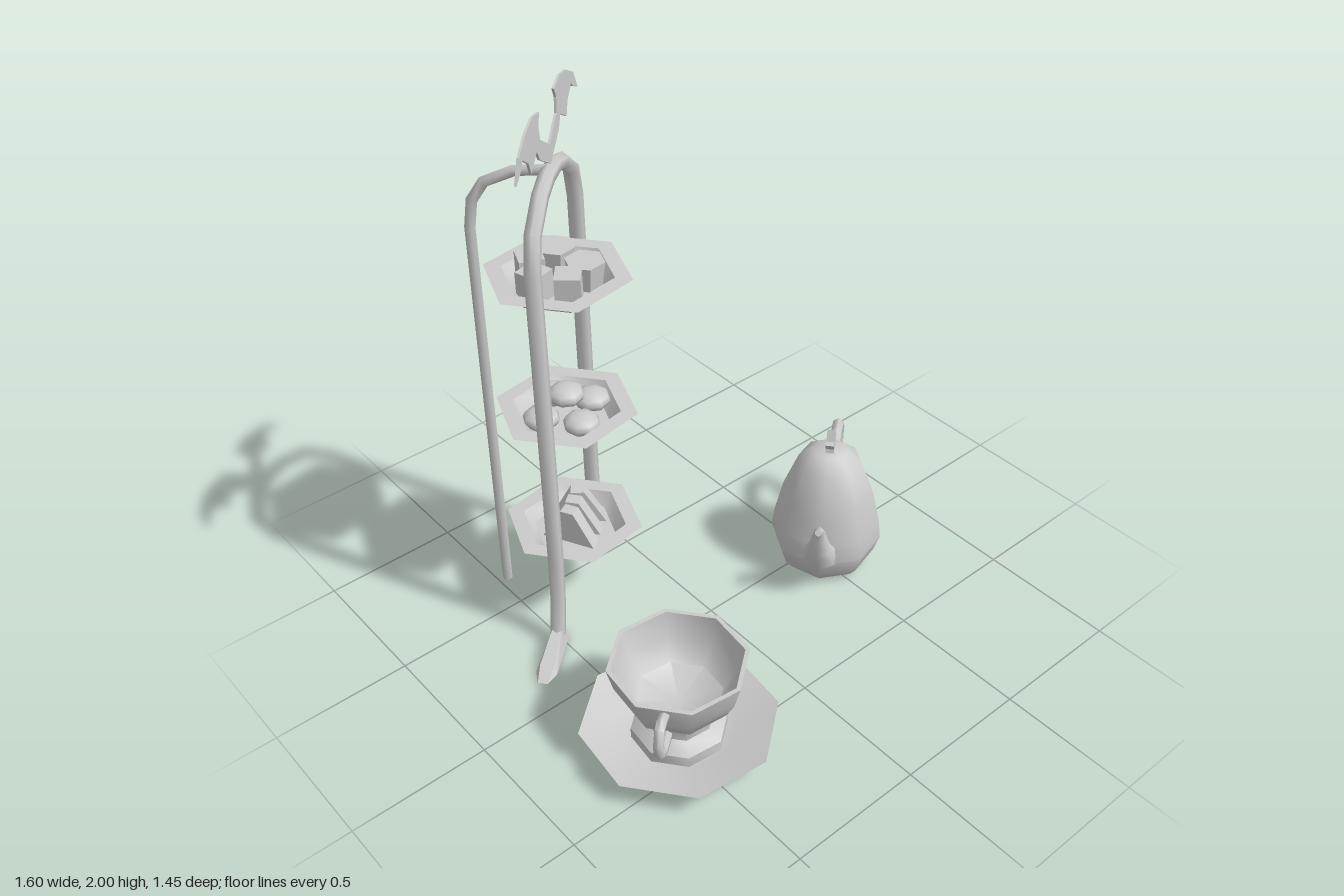
import * as THREE from 'three';
import { toCreasedNormals } from 'three/addons/utils/BufferGeometryUtils.js';
import { ConvexGeometry } from 'three/addons/geometries/ConvexGeometry.js';

const material = new THREE.MeshStandardMaterial({ color: 0xcccccc, side: THREE.DoubleSide });
const YAW = 0.67; // every item is turned by the same angle

function add(parent, name, geometry, x = 0, y = 0, z = 0) {
  const mesh = new THREE.Mesh(geometry, material);
  mesh.name = name;
  mesh.position.set(x, y, z);
  parent.add(mesh);
  return mesh;
}

function turnedGroup(parent, name, x, z) {
  const group = new THREE.Group();
  group.name = name;
  group.position.set(x, 0, z);
  group.rotation.y = YAW;
  parent.add(group);
  return group;
}

// Turned shape; profile runs from the bottom outward and up
function lathe(profile, sides, start = 0) {
  const points = profile.map(([r, y]) => new THREE.Vector2(r, y));
  return toCreasedNormals(new THREE.LatheGeometry(points, sides, start), 0.85);
}

// Capped tube along a path in the XY plane; rows are [x, y, radius]
function sweep(rows, sides = 6) {
  const positions = [], index = [], n = rows.length;
  rows.forEach(([x, y, r], i) => {
    const a = rows[Math.max(i - 1, 0)], b = rows[Math.min(i + 1, n - 1)];
    const t = new THREE.Vector2(b[0] - a[0], b[1] - a[1]).normalize();
    for (let j = 0; j < sides; j++) {
      const angle = (j / sides) * Math.PI * 2, c = Math.cos(angle) * r;
      positions.push(x - t.y * c, y + t.x * c, Math.sin(angle) * r);
    }
  });
  for (const [x, y] of [rows[0], rows[n - 1]]) positions.push(x, y, 0);
  for (let j = 0; j < sides; j++) {
    const k = (j + 1) % sides, last = (n - 1) * sides;
    for (let i = 0; i < n - 1; i++) {
      const a = i * sides + j, b = i * sides + k;
      index.push(a, b, a + sides, b, b + sides, a + sides);
    }
    index.push(n * sides, k, j, n * sides + 1, last + j, last + k);
  }
  const geometry = new THREE.BufferGeometry();
  geometry.setAttribute('position', new THREE.Float32BufferAttribute(positions, 3));
  geometry.setIndex(index);
  return toCreasedNormals(geometry, 1.1);
}

// Symmetric flat shape from its right half, listed bottom centre to top centre
function mirroredPlate(half, depth) {
  const left = half.slice(1, -1).reverse().map(([x, y]) => [-x, y]);
  const shape = new THREE.Shape([...half, ...left].map(([x, y]) => new THREE.Vector2(x, y)));
  const geometry = new THREE.ExtrudeGeometry(shape, { depth, bevelEnabled: false });
  return geometry.translate(0, 0, -depth / 2);
}

function buildStand(root) {
  const stand = turnedGroup(root, 'cakeStand', -0.29, -0.42);
  const r = 0.028;

  // Front arch with two legs
  const half = [[0.295, 0.02], [0.283, 0.07], [0.257, 0.2], [0.25, 0.36], [0.25, 1.53],
    [0.22, 1.645], [0.12, 1.725], [0.04, 1.75]];
  const arch = [...half, ...half.slice().reverse().map(([x, y]) => [-x, y])];
  add(stand, 'arch', sweep(arch.map(([x, y]) => [x, y, r])));

  // Wedge-shaped feet
  for (const s of [1, -1]) {
    const corners = [];
    for (const [x, y, w] of [[0.25, 0.005, 0.03], [0.45, 0.005, 0.038], [0.5, 0.005, 0.018],
      [0.27, 0.075, 0.015], [0.32, 0.065, 0.018], [0.44, 0.03, 0.025]]) {
      corners.push(new THREE.Vector3(s * x, y, w), new THREE.Vector3(s * x, y, -w));
    }
    add(stand, s > 0 ? 'leftFoot' : 'rightFoot', new ConvexGeometry(corners));
  }

  // Straight back leg, curving into the arch
  const back = add(stand, 'backLeg', sweep([[0, 1.755, 0.019], [0.12, 1.738, 0.019],
    [0.22, 1.69, 0.019], [0.265, 1.62, 0.019], [0.28, 1.52, 0.019], [0.28, 0, 0.019]]));
  back.rotation.y = Math.PI / 2;

  // Winged finial
  add(stand, 'wingFinial', mirroredPlate([[0, 1.775], [0.105, 1.84], [0.13, 1.88], [0.195, 1.84],
    [0.215, 1.885], [0.265, 1.92], [0.285, 1.9], [0.337, 1.875], [0.295, 1.945], [0.22, 1.985],
    [0.15, 2], [0.08, 1.985], [0.098, 1.95], [0.09, 1.9], [0.06, 1.88], [0, 1.84]], 0.008));

  // Three hexagonal plates
  for (const y of [0.34, 0.85, 1.385]) {
    add(stand, 'plate', lathe([[0, -0.06], [0.155, -0.06], [0.19, -0.006], [0.25, 0],
      [0.19, 0.002], [0.15, -0.045], [0, -0.045]], 6), 0, y, 0);
  }

  // Sandwich wedges on the lower plate
  const wedge = new THREE.Shape([[-0.1, 0], [0.1, 0], [0.025, 0.135], [-0.025, 0.135]]
    .map(([x, y]) => new THREE.Vector2(x, y)));
  const slice = new THREE.ExtrudeGeometry(wedge, { depth: 0.045, bevelEnabled: false });
  slice.translate(0, 0, -0.0225);
  for (const i of [-1, 0, 1]) {
    const sandwich = add(stand, 'sandwich', slice, i * 0.058, 0.295, 0);
    sandwich.rotation.y = Math.PI / 2 + i * 0.2;
  }

  // Pile of buns on the middle plate
  const bun = new THREE.SphereGeometry(0.065, 8, 6).scale(1, 0.55, 1);
  for (let i = 0; i < 4; i++) {
    const a = (i + 0.5) * Math.PI / 2;
    add(stand, 'bun', bun, Math.sin(a) * 0.1, 0.84, Math.cos(a) * 0.1);
  }
  add(stand, 'bun', bun, 0, 0.9, 0);

  // Cakes on the upper plate
  const round = toCreasedNormals(new THREE.CylinderGeometry(0.068, 0.055, 0.09, 6), 0.5);
  add(stand, 'roundCake', round, 0.01, 1.39, 0.09);
  add(stand, 'roundCake', round, 0.09, 1.385, -0.03);
  const square = new THREE.BoxGeometry(0.085, 0.1, 0.085);
  [[-0.085, 0.06, 0.2], [-0.09, -0.05, -0.4], [0, -0.09, 0.5]].forEach(([x, z, turn]) => {
    add(stand, 'squareCake', square, x, 1.39, z).rotation.y = turn;
  });
}

function buildCup(root) {
  const cup = turnedGroup(root, 'teacupAndSaucer', -0.467, 0.378);
  const start = Math.PI / 8;
  add(cup, 'saucer', lathe([[0, 0], [0.17, 0], [0.185, 0.022], [0.34, 0.09],
    [0.19, 0.04], [0.15, 0.03], [0, 0.03]], 8, start));
  add(cup, 'cup', lathe([[0, 0.03], [0.165, 0.03], [0.165, 0.075], [0.12, 0.11], [0.12, 0.155],
    [0.185, 0.215], [0.215, 0.275], [0.238, 0.365], [0.222, 0.365], [0.195, 0.27],
    [0.15, 0.2], [0, 0.17]], 8, start));
  add(cup, 'cupHandle', sweep([[-0.21, 0.335], [-0.25, 0.35], [-0.285, 0.345], [-0.305, 0.3],
    [-0.295, 0.25], [-0.25, 0.215], [-0.18, 0.21]].map(([x, y]) => [x, y, 0.018])));
}

function buildTeapot(root) {
  const pot = turnedGroup(root, 'teapot', 0.535, 0.048);
  add(pot, 'potBody', lathe([[0, 0.01], [0.155, 0.01], [0.185, 0.05], [0.207, 0.12], [0.197, 0.2],
    [0.168, 0.33], [0.115, 0.47], [0.065, 0.51], [0, 0.52]], 8));

  // Leaf-shaped lid knob
  add(pot, 'lidKnob', mirroredPlate([[0, 0.51], [0.03, 0.515], [0.025, 0.53], [0.047, 0.562],
    [0.02, 0.56], [0, 0.6]], 0.03));

  add(pot, 'spout', sweep([[-0.13, 0.12, 0.075], [-0.2, 0.17, 0.062], [-0.235, 0.24, 0.042],
    [-0.25, 0.3, 0.028], [-0.265, 0.34, 0.019], [-0.295, 0.36, 0.013]]));

  // Scrolled handle with a curl at its lower end
  add(pot, 'potHandle', sweep([[0.12, 0.385], [0.17, 0.4], [0.22, 0.42], [0.28, 0.415],
    [0.318, 0.37], [0.305, 0.3], [0.25, 0.225], [0.225, 0.16], [0.245, 0.11], [0.28, 0.115]]
    .map(([x, y]) => [x, y, 0.023])));
  add(pot, 'handleCurl', new THREE.SphereGeometry(0.034, 6, 5), 0.275, 0.12, 0);
}

export function createModel() {
  const root = new THREE.Group();
  root.name = 'teaSet';
  buildStand(root);
  buildCup(root);
  buildTeapot(root);
  return root;
}
